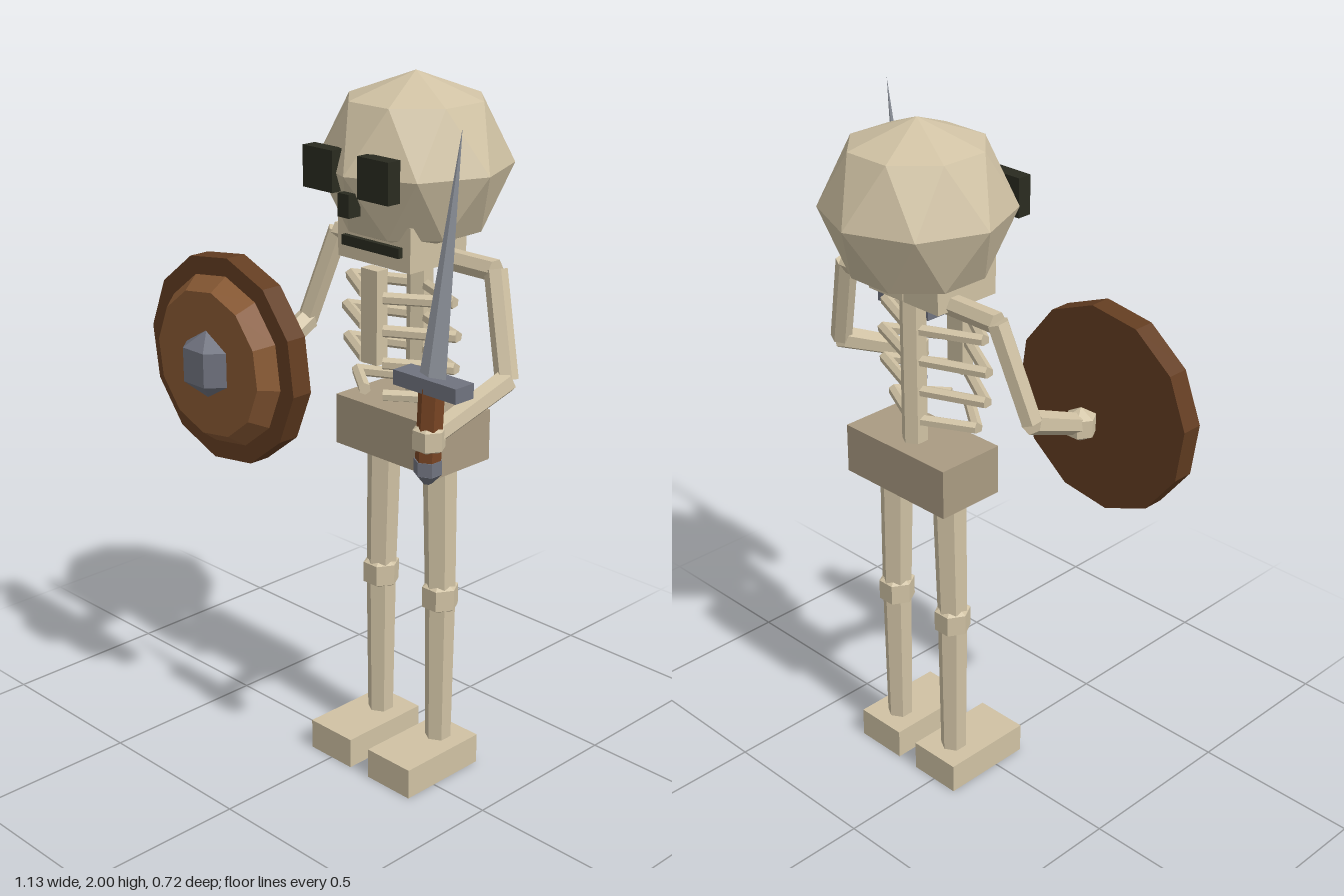
import * as THREE from 'three';

const mat = (name, color) => {
  const m = new THREE.MeshStandardMaterial({ color });
  m.name = name;
  return m;
};

export function createModel() {
  const bone = mat('bone', 0xd0c2a4);
  const darkBone = mat('dark bone', 0xaa9b82);
  const black = mat('socket black', 0x2a2b20);
  const rimWood = mat('dark wood', 0x633d21);
  const plateWood = mat('light wood', 0x8a5a34);
  const leather = mat('grip leather', 0x7a4624);
  const iron = mat('iron', 0x70737f);
  const steel = mat('blade steel', 0xa6abb5);

  const model = new THREE.Group();
  model.name = 'skeletonWarrior';
  const CX = 0.115, CZ = -0.1; // body axis
  const V = (x, y, z) => new THREE.Vector3(x, y, z);

  // Faceted mesh: separate faces give flat normals
  function add(name, geometry, material, x = 0, y = 0, z = 0) {
    const g = geometry.index ? geometry.toNonIndexed() : geometry;
    g.computeVertexNormals();
    const mesh = new THREE.Mesh(g, material);
    mesh.name = name;
    mesh.position.set(x, y, z);
    model.add(mesh);
    return mesh;
  }

  // Box from its minimum and maximum corners
  function box(name, material, [x0, y0, z0], [x1, y1, z1]) {
    return add(name, new THREE.BoxGeometry(x1 - x0, y1 - y0, z1 - z0), material,
      (x0 + x1) / 2, (y0 + y1) / 2, (z0 + z1) / 2);
  }

  // Tapered six-sided rod from a to b
  function rod(name, material, a, b, ra, rb = ra, sides = 6) {
    const d = b.clone().sub(a);
    const mid = a.clone().add(b).multiplyScalar(0.5);
    const mesh = add(name, new THREE.CylinderGeometry(rb, ra, d.length(), sides), material, mid.x, mid.y, mid.z);
    mesh.quaternion.setFromUnitVectors(V(0, 1, 0), d.normalize());
    return mesh;
  }

  const knob = (name, material, p, r) =>
    add(name, new THREE.SphereGeometry(r, 6, 3), material, p.x, p.y, p.z);

  // Skull: octagonal equator, with upper and lower rings turned half a step
  function skullGeometry(r, h) {
    const out = [];
    const ring = (k, radius, y) => {
      const a = k * Math.PI / 4;
      return [Math.sin(a) * radius, y, Math.cos(a) * radius];
    };
    for (const s of [1, -1]) {
      const tri = (a, b, c) => out.push(...a, ...(s > 0 ? b : c), ...(s > 0 ? c : b));
      for (let k = 0; k < 8; k++) {
        const u0 = ring(k + 0.5, r * 0.715, s * h * 0.71);
        const u1 = ring(k + 1.5, r * 0.715, s * h * 0.71);
        const e0 = ring(k, r, 0), e1 = ring(k + 1, r, 0);
        tri(u0, e0, e1);
        tri(u0, e1, u1);
        tri([0, s * h, 0], u0, u1);
      }
    }
    const g = new THREE.BufferGeometry();
    g.setAttribute('position', new THREE.Float32BufferAttribute(out, 3));
    return g;
  }

  // Head
  add('skull', skullGeometry(0.263, 0.24), bone, CX, 1.76, CZ);
  box('jaw', bone, [CX - 0.133, 1.51, -0.16], [CX + 0.133, 1.63, 0.053]);
  box('mouth', black, [CX - 0.105, 1.548, 0.04], [CX + 0.105, 1.575, 0.068]);
  box('nose', black, [CX - 0.02, 1.655, 0.12], [CX + 0.02, 1.717, 0.163]);

  // Torso
  rod('spine', bone, V(CX, 1.08, -0.125), V(CX, 1.54, -0.125), 0.037);
  box('sternum', bone, [CX - 0.03, 1.24, 0.03], [CX + 0.03, 1.5, 0.07]);
  rod('shoulderBar', bone, V(CX - 0.29, 1.522, CZ), V(CX + 0.29, 1.522, CZ), 0.03);
  box('pelvis', darkBone, [CX - 0.193, 0.945, -0.205], [CX + 0.193, 1.09, 0.005]);

  const ribs = [[1.425, 0.19], [1.335, 0.205], [1.245, 0.2], [1.155, 0.165]];
  for (const s of [-1, 1]) {
    // Eyes
    box('eyeSocket', black, [CX + s * 0.1 - 0.055, 1.71, 0.115], [CX + s * 0.1 + 0.055, 1.82, 0.158]);

    // Ribs bend at the side
    for (const [y, w] of ribs) {
      const side = V(CX + s * w, y, -0.05);
      rod('ribBack', bone, V(CX + s * 0.02, y, -0.125), side, 0.017);
      rod('ribFront', bone, side, V(CX + s * 0.035, y, 0.05), 0.017);
    }

    // Legs
    const knee = V(CX + s * 0.117, 0.54, CZ);
    rod('thigh', bone, V(CX + s * 0.107, 0.96, CZ), knee, 0.049, 0.044);
    knob('knee', bone, knee, 0.061);
    rod('shin', bone, knee, V(CX + s * 0.117, 0.08, CZ), 0.044, 0.038);
    box('foot', bone, [CX + s * 0.117 - 0.081, 0, -0.18], [CX + s * 0.117 + 0.081, 0.09, 0.105]);
  }

  // Arms
  const arms = [
    ['right', V(-0.175, 1.525, CZ), V(-0.262, 1.255, -0.06), V(-0.238, 1.16, 0.16)],
    ['left', V(0.405, 1.525, CZ), V(0.488, 1.255, -0.06), V(0.447, 1.15, 0.185)],
  ];
  for (const [side, shoulder, elbow, hand] of arms) {
    rod(side + 'UpperArm', bone, shoulder, elbow, 0.031);
    rod(side + 'Forearm', bone, elbow, hand, 0.034, 0.03);
    knob(side + 'Hand', bone, hand, 0.051);
  }

  // Shield
  const sx = -0.27, sy = 1.203;
  const disc = (name, material, z0, z1, r0, r1) => {
    const mesh = rod(name, material, V(sx, sy, z0), V(sx, sy, z1), r0, r1, 12);
    mesh.rotateY(-7 * Math.PI / 180);
  };
  disc('shieldRim', rimWood, 0.197, 0.26, 0.297, 0.297);
  disc('shieldPlate', plateWood, 0.26, 0.31, 0.245, 0.208);
  knob('shieldBoss', iron, V(sx, sy, 0.308), 0.097).scale.z = 0.68;

  // Sword
  const sz = 0.186;
  rod('grip', leather, V(0.445, 1.08, sz), V(0.455, 1.29, sz), 0.034);
  rod('pommel', iron, V(0.445, 1.055, sz), V(0.445, 1.092, sz), 0.037);
  rod('pommelTip', iron, V(0.444, 1.027, sz), V(0.445, 1.055, sz), 0.012, 0.037);
  box('guard', iron, [0.352, 1.278, 0.153], [0.565, 1.318, 0.219]);

  // Blade: flat diamond cone sheared toward its tip
  const blade = new THREE.ConeGeometry(0.045, 0.635, 4);
  blade.scale(1, 1, 0.36);
  const p = blade.attributes.position;
  for (let i = 0; i < p.count; i++) p.setX(i, p.getX(i) + (p.getY(i) + 0.3175) / 0.635 * 0.083);
  add('blade', blade, steel, 0.457, 1.315 + 0.3175, sz);

  return model;
}
